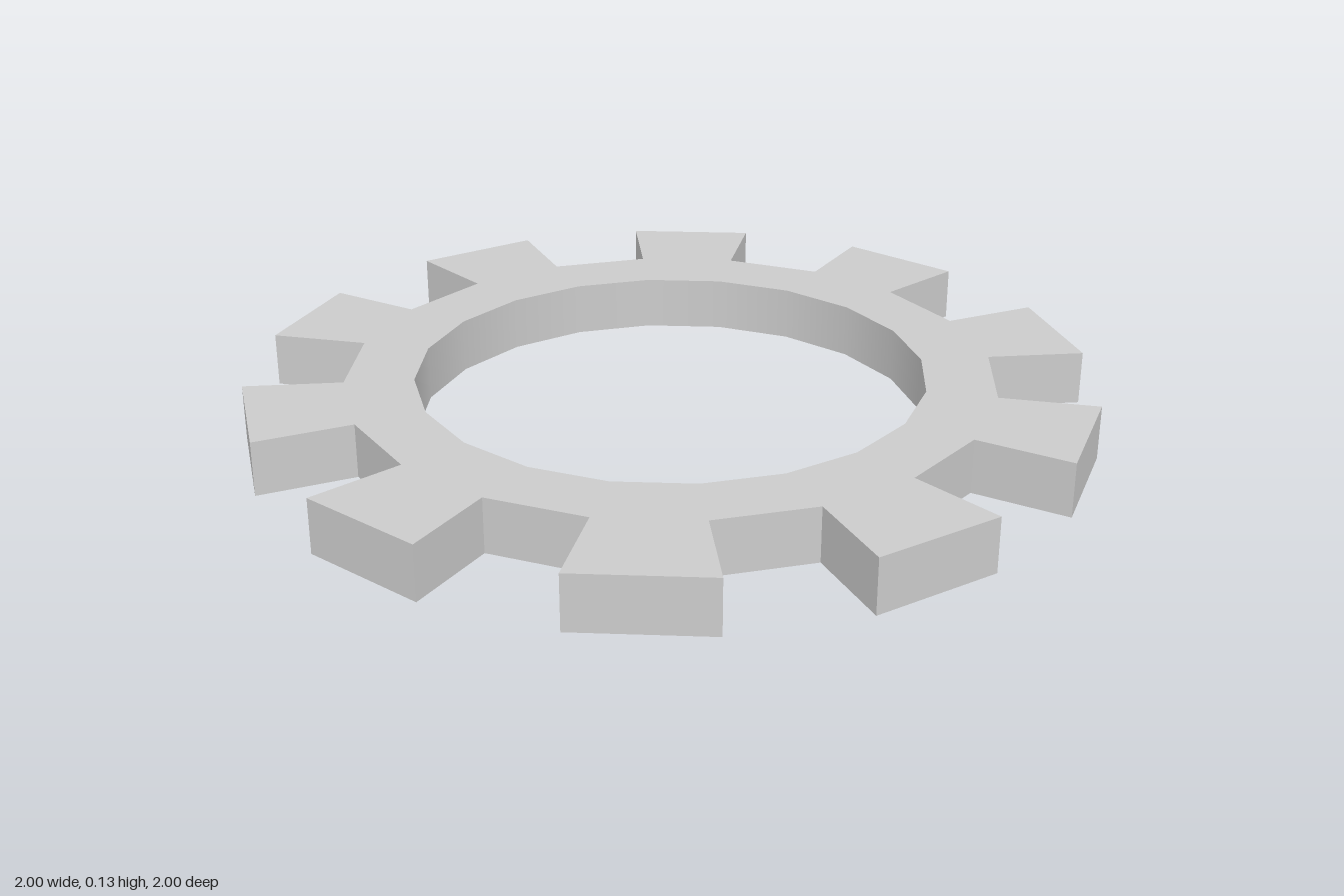
import * as THREE from 'three';

const TEETH = 10, STEPS = TEETH * 2;
const TIP = 1, ROOT = 0.767, BORE = 0.603, THICKNESS = 0.13;

const polar = (r, i) => {
  const a = (i / STEPS) * Math.PI * 2;
  return new THREE.Vector2(r * Math.cos(a), r * Math.sin(a));
};

export function createModel() {
  const group = new THREE.Group();
  group.name = 'gearRing';

  // Outline: straight tooth tips and root gaps alternate every step
  const outline = [], bore = [];
  for (let i = 0; i < STEPS; i++) {
    const r = i % 2 === 0 ? TIP : ROOT;
    outline.push(polar(r, i), polar(r, i + 1));
    bore.push(polar(BORE, -i));
  }
  const shape = new THREE.Shape(outline);
  shape.holes.push(new THREE.Path(bore));

  const geometry = new THREE.ExtrudeGeometry(shape, { depth: THICKNESS, bevelEnabled: false });
  geometry.rotateX(-Math.PI / 2);

  // Bore wall: smooth normals pointing at the axis
  const pos = geometry.attributes.position, normal = geometry.attributes.normal;
  for (let i = 0; i < pos.count; i++) {
    const x = pos.getX(i), z = pos.getZ(i), r = Math.hypot(x, z);
    if (r < BORE + 0.01 && Math.abs(normal.getY(i)) < 0.5) normal.setXYZ(i, -x / r, 0, -z / r);
  }

  const gear = new THREE.Mesh(geometry, new THREE.MeshStandardMaterial({ color: 0xcccccc }));
  gear.name = 'toothedRing';
  group.add(gear);
  return group;
}
